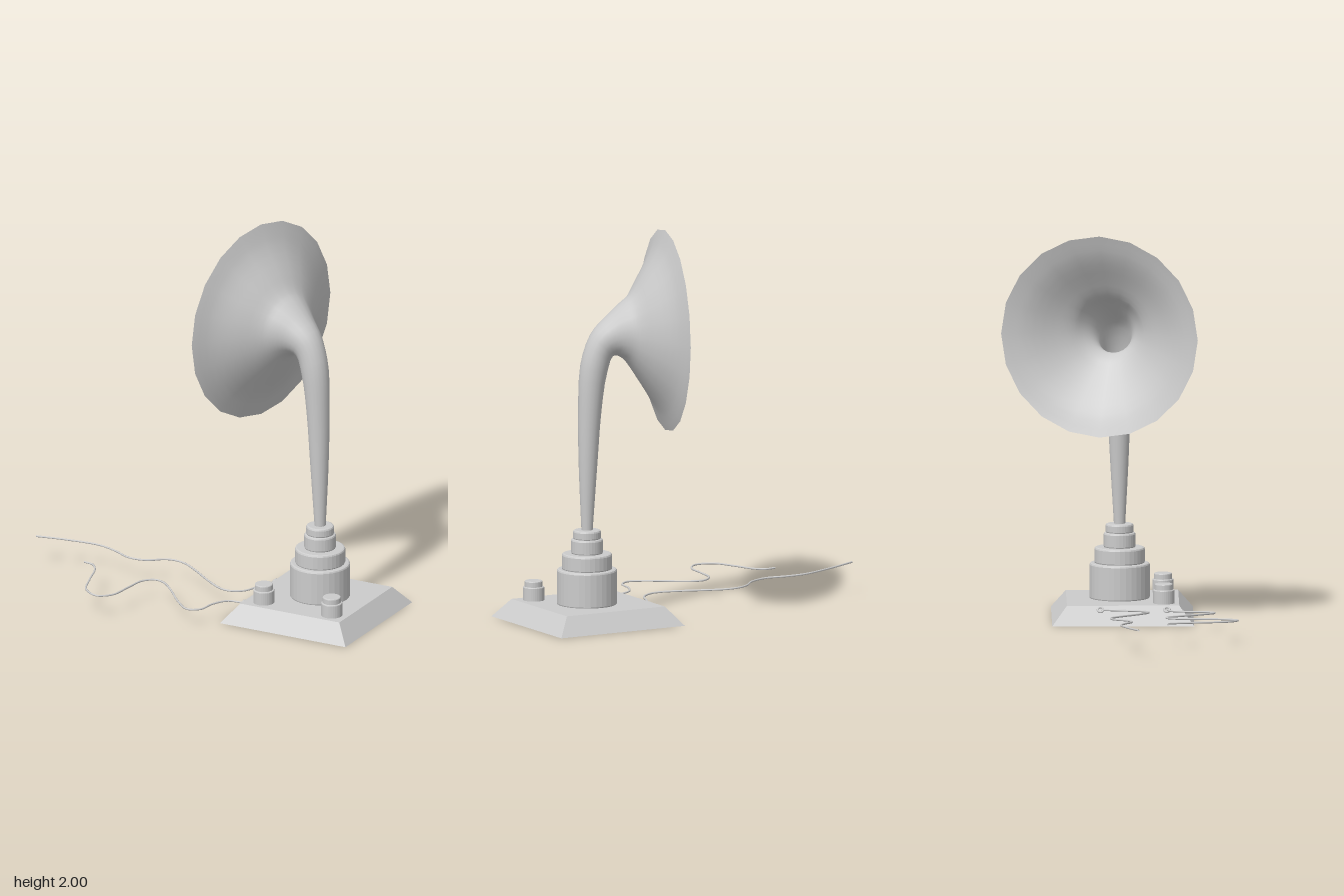
import * as THREE from 'three';

const material = new THREE.MeshStandardMaterial({ color: 0xcccccc, side: THREE.DoubleSide });
const AXIS_X = 0.62; // column axis
const YAW = THREE.MathUtils.degToRad(15); // how far the horn turns towards the back

function addMesh(parent, name, geometry) {
  const mesh = new THREE.Mesh(geometry, material);
  mesh.name = name;
  parent.add(mesh);
  return mesh;
}

// Square plinth with sloping sides
function plinthGeometry(size, height, inset) {
  const geometry = new THREE.BoxGeometry(size, height, size);
  const p = geometry.attributes.position;
  const k = (size - 2 * inset) / size;
  for (let i = 0; i < p.count; i++) {
    if (p.getY(i) > 0) {
      p.setX(i, p.getX(i) * k);
      p.setZ(i, p.getZ(i) * k);
    }
  }
  geometry.computeVertexNormals();
  return geometry;
}

// Closed drum with a small chamfer, standing on y = 0
function drumGeometry(radius, height, bevel = 0.01) {
  const shape = new THREE.Shape();
  shape.absarc(0, 0, radius - bevel, 0, Math.PI * 2);
  const geometry = new THREE.ExtrudeGeometry(shape, {
    depth: height - 2 * bevel, bevelThickness: bevel, bevelSize: bevel,
    bevelSegments: 2, curveSegments: 16,
  });
  geometry.translate(0, 0, bevel);
  geometry.rotateX(-Math.PI / 2);
  return geometry;
}

// Bent horn swept from rings: [distance along the yawed plane, height, tilt in degrees, radius]
function hornGeometry() {
  const rings = [
    [0, 0.46, 0, 0.028], [0.005, 0.8, 1, 0.047], [0.015, 1.1, 4, 0.06],
    [0.035, 1.3, 14, 0.071], [0.075, 1.42, 45, 0.08], [0.135, 1.468, 75, 0.108],
    [0.19, 1.485, 86, 0.15], [0.23, 1.485, 90, 0.19], [0.29, 1.485, 90, 0.28],
    [0.367, 1.485, 90, 0.405], [0.41, 1.485, 90, 0.515],
  ];
  const path = new THREE.CatmullRomCurve3(rings.map(([u, y, , r]) => new THREE.Vector3(u, y, r)));
  const tilts = new THREE.CatmullRomCurve3(rings.map(([, , a], i) => new THREE.Vector3(a, i * 20, 0)));
  const sides = 20, steps = (rings.length - 1) * 3;
  const positions = [], index = [];
  for (let i = 0; i <= steps; i++) {
    const c = path.getPoint(i / steps);
    const a = THREE.MathUtils.degToRad(tilts.getPoint(i / steps).x);
    for (let j = 0; j < sides; j++) {
      const t = (j / sides) * Math.PI * 2;
      const n = Math.cos(t) * c.z, v = Math.sin(t) * c.z;
      const u = c.x - n * Math.cos(a);
      positions.push(
        -u * Math.cos(YAW) + v * Math.sin(YAW),
        c.y + n * Math.sin(a),
        -u * Math.sin(YAW) - v * Math.cos(YAW),
      );
      if (i < steps) {
        const p = i * sides + j, q = i * sides + ((j + 1) % sides);
        index.push(p, q, p + sides, q, q + sides, p + sides);
      }
    }
  }
  const geometry = new THREE.BufferGeometry();
  geometry.setAttribute('position', new THREE.Float32BufferAttribute(positions, 3));
  geometry.setIndex(index);
  geometry.computeVertexNormals();
  return geometry;
}

// Loose wire through [x, z] points, rising evenly away from the base
function wireGeometry(points) {
  const curve = new THREE.CatmullRomCurve3(
    points.map(([x, z]) => new THREE.Vector3(x, 0.075 + (0.31 - x) * 0.061, z)));
  return new THREE.TubeGeometry(curve, 120, 0.005, 8);
}

export function createModel() {
  const model = new THREE.Group();
  model.name = 'hornSpeaker';

  addMesh(model, 'base', plinthGeometry(0.72, 0.095, 0.075)).position.set(0.605, 0.0475, 0.015);

  // Stepped column under the horn
  const column = new THREE.Group();
  column.name = 'column';
  column.position.x = AXIS_X;
  model.add(column);
  [
    ['columnDrum', 0.153, 0.09, 0.275],
    ['columnCollar', 0.128, 0.27, 0.355],
    ['columnNeck', 0.081, 0.35, 0.43],
    ['columnCap', 0.071, 0.425, 0.475],
  ].forEach(([name, r, y0, y1]) => {
    addMesh(column, name, drumGeometry(r, y1 - y0)).position.y = y0;
  });

  addMesh(model, 'horn', hornGeometry()).position.x = AXIS_X;

  // Two control knobs on the front of the base
  for (const x of [0.415, 0.805]) {
    const knob = new THREE.Group();
    knob.name = 'knob';
    knob.position.set(x, 0.09, 0.222);
    addMesh(knob, 'knobBody', drumGeometry(0.054, 0.075, 0.005));
    addMesh(knob, 'knobCap', drumGeometry(0.046, 0.035, 0.005)).position.y = 0.07;
    model.add(knob);
  }

  // Wires and the terminals that hold them on the sloping side
  const wires = [
    [[0.31, -0.1], [0.27, 0.0], [0.23, 0.1], [0.17, 0.14], [0.12, 0.138], [0.03, 0.09],
      [-0.1, 0], [-0.18, -0.045], [-0.24, -0.053], [-0.29, -0.035], [-0.36, 0.03], [-0.45, 0.052],
      [-0.55, 0.015], [-0.65, -0.005], [-0.82, 0.03], [-0.97, 0.08]],
    [[0.31, 0.237], [0.23, 0.26], [0.185, 0.34], [0.165, 0.44], [0.11, 0.477], [0.03, 0.42],
      [-0.08, 0.3], [-0.15, 0.24], [-0.2, 0.23], [-0.25, 0.28], [-0.27, 0.4], [-0.29, 0.53],
      [-0.35, 0.59], [-0.43, 0.55], [-0.48, 0.42], [-0.52, 0.29], [-0.56, 0.24], [-0.61, 0.235]],
  ];
  for (const points of wires) {
    addMesh(model, 'wire', wireGeometry(points));
    const terminal = addMesh(model, 'terminal', new THREE.TorusGeometry(0.014, 0.006, 8, 16));
    terminal.position.set(0.303, 0.077, points[0][1]);
    terminal.rotation.set(-Math.PI / 2, 0.88, 0, 'ZYX');
    terminal.lookAt(0.303 - 0.095, 0.077 + 0.075, points[0][1]);
  }

  return model;
}
